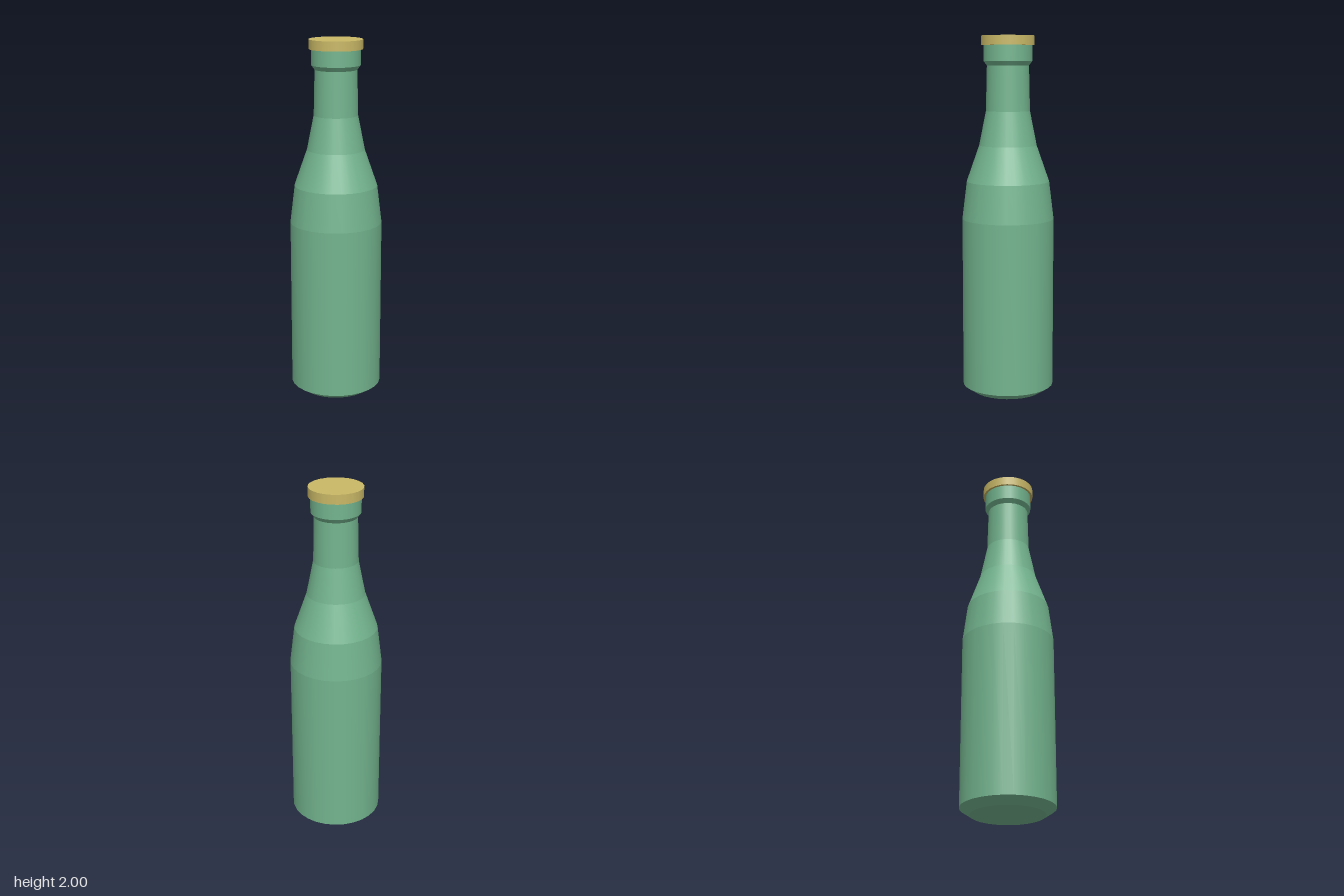
import * as THREE from 'three';
import { mergeGeometries } from 'three/addons/utils/BufferGeometryUtils.js';

// One lathe per profile segment: smooth around, crisp between bands
function bandedLathe(profile, sides) {
  const bands = [];
  for (let i = 0; i < profile.length - 1; i++) {
    const pair = [profile[i], profile[i + 1]].map(([r, y]) => new THREE.Vector2(r, y));
    bands.push(new THREE.LatheGeometry(pair, sides));
  }
  return mergeGeometries(bands);
}

export function createModel() {
  const group = new THREE.Group();
  group.name = 'bottle';
  const glass = new THREE.MeshStandardMaterial({ color: 0x73b48e });
  const metal = new THREE.MeshStandardMaterial({ color: 0xc9b866 });

  const add = (name, geometry, material) => {
    const mesh = new THREE.Mesh(geometry, material);
    mesh.name = name;
    group.add(mesh);
    return mesh;
  };

  // Base with shallow hollow, chamfer, straight wall, shoulder and neck
  add('body', bandedLathe([
    [0, 0.02], [0.2, 0], [0.256, 0.037], [0.256, 0.99], [0.23, 1.2],
    [0.16, 1.4], [0.122, 1.59], [0.116, 1.84],
  ], 28), glass);

  // Thickened lip around the mouth
  add('lip', bandedLathe([
    [0.116, 1.838], [0.134, 1.862], [0.134, 1.95], [0, 1.95],
  ], 28), glass);

  // Flat cap
  const cap = add('cap', new THREE.CylinderGeometry(0.147, 0.147, 0.052, 24), metal);
  cap.position.y = 1.974;

  return group;
}
